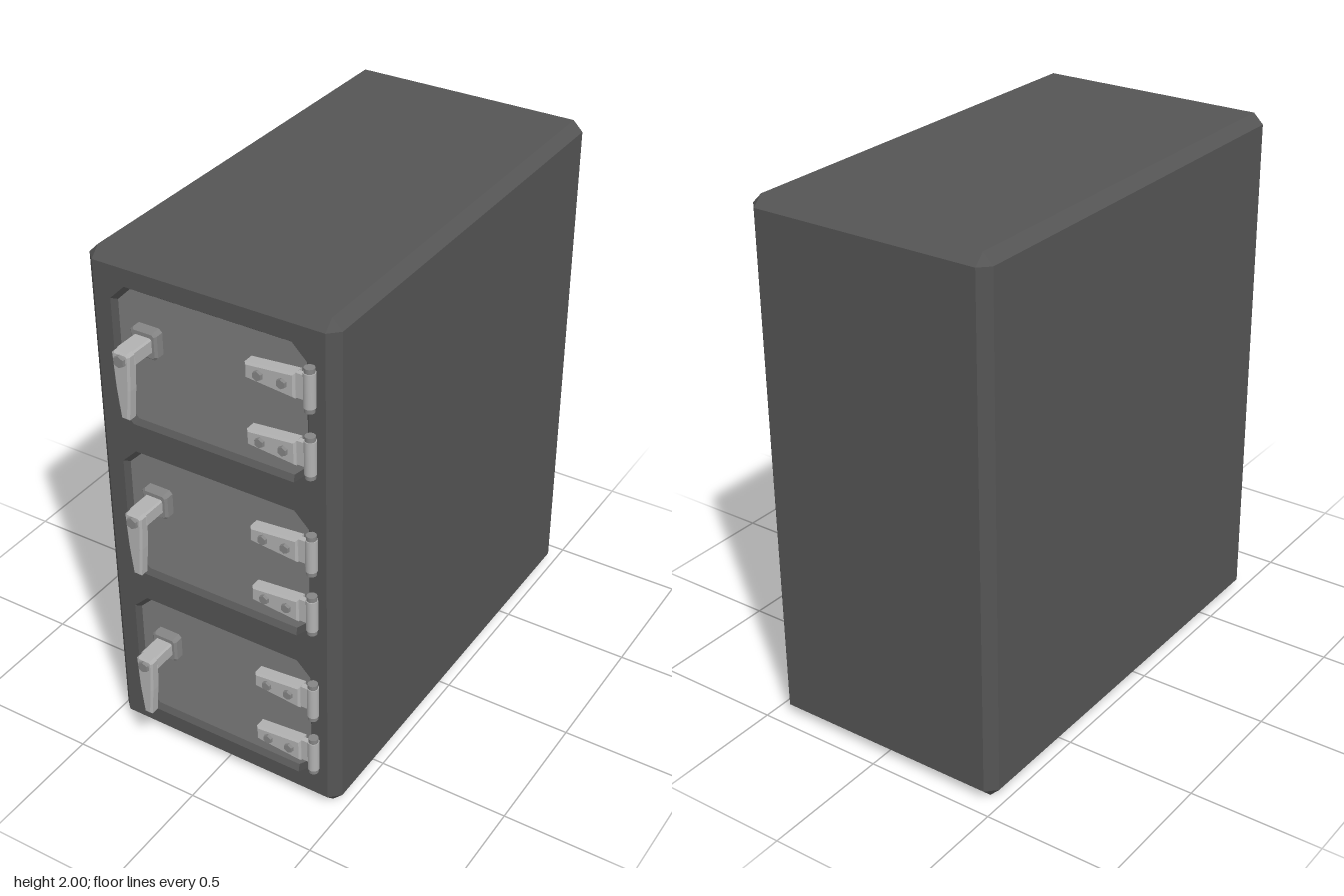
import * as THREE from 'three';

const mat = (name, color) => {
  const m = new THREE.MeshStandardMaterial({ color });
  m.name = name;
  return m;
};

const W = 0.477, H = 1.0, BACK = -0.94, FRONT = 0.785, C = 0.038; // cabinet half sizes and chamfer
const FLOOR = 0.765; // door panel depth
const DOOR_Y = [1.635, 1.0, 0.365];

// Eight-cornered outline, counter-clockwise; c is the corner cut
const octagon = (w, h, c, cy = 0) => [
  [w, -h + c], [w, h - c], [w - c, h], [-w + c, h],
  [-w, h - c], [-w, -h + c], [-w + c, -h], [w - c, -h],
].map(([x, y]) => new THREE.Vector2(x, y + cy));

// Flat-shaded skin between successive outlines, each { pts, z }
function loft(rings) {
  const pos = [];
  for (let r = 0; r < rings.length - 1; r++) {
    const a = rings[r], b = rings[r + 1], n = a.pts.length;
    const put = (k, i) => pos.push(k.pts[i].x, k.pts[i].y, k.z);
    for (let i = 0; i < n; i++) {
      const j = (i + 1) % n;
      put(a, i); put(a, j); put(b, j);
      put(a, i); put(b, j); put(b, i);
    }
  }
  const g = new THREE.BufferGeometry();
  g.setAttribute('position', new THREE.Float32BufferAttribute(pos, 3));
  g.computeVertexNormals();
  return g;
}

// Bevelled plate from an outline, spanning z0 to z1
function plate(points, z0, z1, bevel) {
  const g = new THREE.ExtrudeGeometry(new THREE.Shape(points), {
    depth: z1 - z0 - 2 * bevel, bevelEnabled: true, bevelSegments: 1,
    bevelSize: bevel, bevelThickness: bevel, bevelOffset: -bevel,
  });
  return g.translate(0, 0, z0 + bevel);
}

const outline = (list) => list.map(([x, y]) => new THREE.Vector2(x, y));

export function createModel() {
  const bodyMat = mat('darkGrey', 0x555555);
  const doorMat = mat('midGrey', 0x7c7c7c);
  const metalMat = mat('lightGrey', 0xb2b2b2);
  const boltMat = mat('boltGrey', 0x858585);

  const model = new THREE.Group();
  model.name = 'lockerCabinet';
  const add = (parent, name, geo, material, x = 0, y = 0, z = 0) => {
    const m = new THREE.Mesh(geo, material);
    m.name = name;
    m.position.set(x, y, z);
    parent.add(m);
    return m;
  };
  const hexBolt = (parent, x, y, r, z0, z1) => {
    const g = new THREE.CylinderGeometry(r * 0.85, r, z1 - z0, 6).toNonIndexed();
    g.computeVertexNormals();
    g.rotateX(Math.PI / 2);
    add(parent, 'bolt', g, boltMat, x, y, (z0 + z1) / 2);
  };

  // Chamfered cabinet shell
  const big = octagon(W, H, C, 1);
  const small = octagon(W - C, H - C, 0, 1);
  add(model, 'cabinetShell', loft([
    { pts: small, z: BACK }, { pts: big, z: BACK + C },
    { pts: big, z: FRONT - C }, { pts: small, z: FRONT },
  ]), bodyMat);
  const flat = () => new THREE.Shape(outline([
    [W - C, C], [W - C, 2 - C], [-W + C, 2 - C], [-W + C, C]]));
  const back = add(model, 'cabinetBack', new THREE.ShapeGeometry(flat()), bodyMat, 0, 0, BACK);
  back.rotation.y = Math.PI;

  // Front face with a door opening per compartment
  const face = flat();
  for (const y of DOOR_Y) face.holes.push(new THREE.Path(octagon(0.375, 0.262, 0.058, y).reverse()));
  add(model, 'cabinetFront', new THREE.ShapeGeometry(face), bodyMat, 0, 0, FRONT);

  // Shared hardware geometry
  const leaf = plate(outline([[0.16, -0.029], [0.345, -0.046], [0.345, 0.046], [0.16, 0.029]]),
    FLOOR, 0.817, 0.007);
  const barrel = new THREE.CylinderGeometry(0.021, 0.021, 0.126, 16);
  const cap = new THREE.CylinderGeometry(0.018, 0.018, 0.16, 16);
  const lever = plate(outline([
    [-0.27, 0.108], [-0.263, -0.02], [-0.25, -0.135], [-0.218, -0.135],
    [-0.207, -0.02], [-0.2, 0.108], [-0.21, 0.118], [-0.26, 0.118],
  ]), 0.886, 0.93, 0.007);
  const base = plate(octagon(0.052, 0.052, 0.012), FLOOR, 0.81, 0.008);
  const shaft = plate(octagon(0.035, 0.028, 0.006), 0.8, 0.9, 0.003);

  DOOR_Y.forEach((cy, i) => {
    const door = new THREE.Group();
    door.name = 'door' + (i + 1);
    door.position.y = cy;
    model.add(door);

    // Sloped recess and door panel
    const inner = octagon(0.36, 0.247, 0.052);
    add(door, 'doorRecess', loft([
      { pts: octagon(0.375, 0.262, 0.058), z: FRONT }, { pts: inner, z: FLOOR },
    ]), bodyMat);
    add(door, 'doorPanel', new THREE.ShapeGeometry(new THREE.Shape(inner)), doorMat, 0, 0, FLOOR);

    // Hinges
    for (const y of [0.125, -0.125]) {
      const hinge = new THREE.Group();
      hinge.name = 'hinge';
      hinge.position.y = y;
      door.add(hinge);
      add(hinge, 'hingeLeaf', leaf, metalMat);
      add(hinge, 'hingeKnuckleLink', new THREE.BoxGeometry(0.05, 0.09, 0.02), metalMat, 0.362, 0, 0.795);
      add(hinge, 'hingeBarrel', barrel, metalMat, 0.393, 0, 0.803);
      add(hinge, 'hingePin', cap, boltMat, 0.393, 0, 0.803);
      for (const x of [0.214, 0.301]) hexBolt(hinge, x, 0, 0.02, 0.81, 0.828);
    }

    // Latch handle
    const handle = new THREE.Group();
    handle.name = 'handle';
    door.add(handle);
    add(handle, 'handleBase', base, boltMat, -0.235, 0.088, 0);
    add(handle, 'handleShaft', shaft, metalMat, -0.235, 0.09, 0);
    add(handle, 'handleLever', lever, metalMat);
    hexBolt(handle, -0.235, 0.088, 0.025, 0.925, 0.94);
  });

  return model;
}
